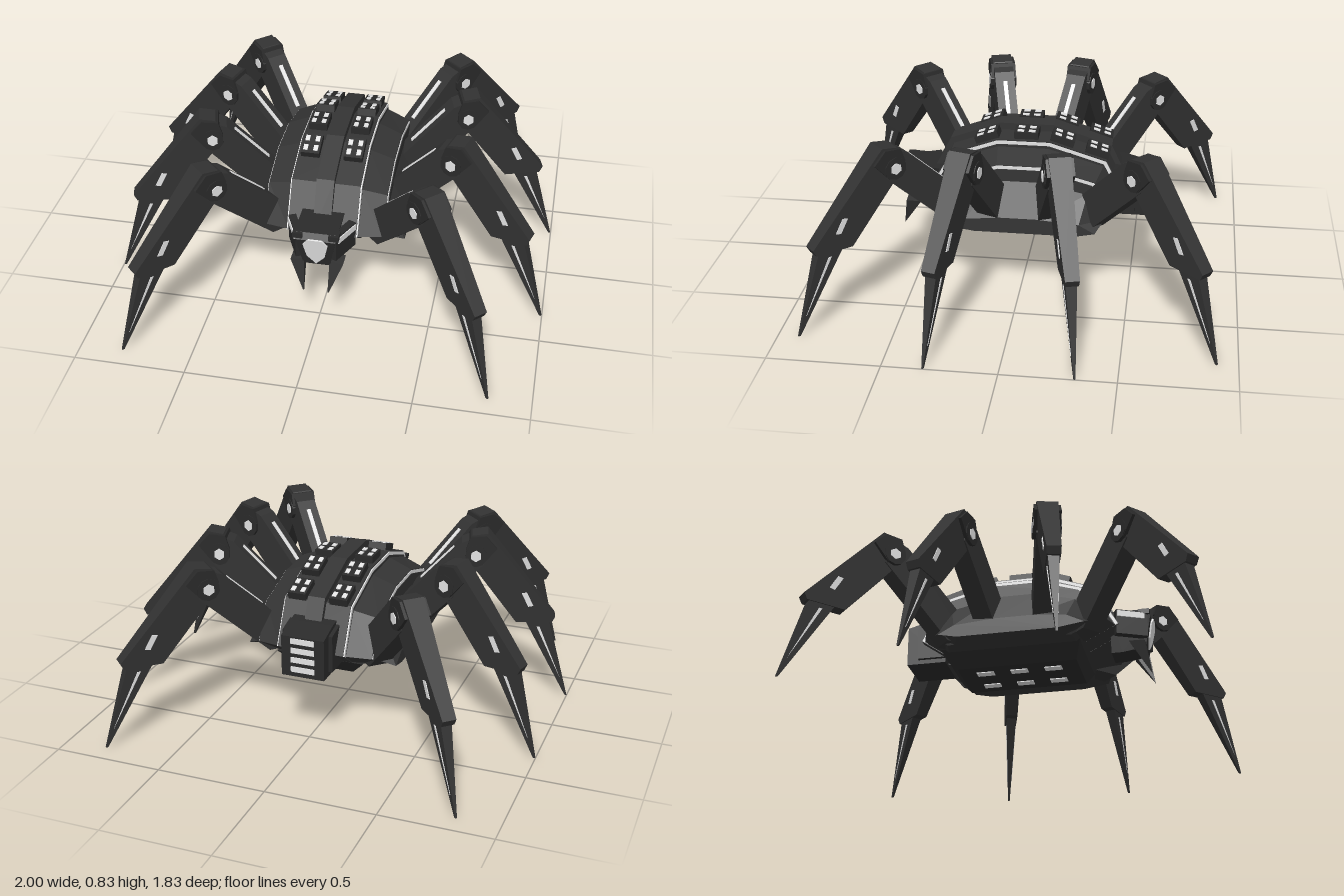
import * as THREE from 'three';

const material = (name, color) => {
  const m = new THREE.MeshStandardMaterial({ color });
  m.name = name;
  return m;
};

export function createModel() {
  const shellMat = material('shell grey', 0x343434);
  const legMat = material('leg grey', 0x323232);
  const darkMat = material('dark grey', 0x2a2a2a);
  const lightMat = material('light panel', 0xe4e4e4);
  const model = new THREE.Group();

  function add(parent, name, geometry, mat, x = 0, y = 0, z = 0) {
    const mesh = new THREE.Mesh(geometry, mat);
    mesh.name = name;
    mesh.position.set(x, y, z);
    parent.add(mesh);
    return mesh;
  }
  const box = (w, h, d) => new THREE.BoxGeometry(w, h, d);

  // Outline in x/y extruded along z; the width may vary with height
  function prism(points, width) {
    const shape = new THREE.Shape(points.map(p => new THREE.Vector2(p[0], p[1])));
    const g = new THREE.ExtrudeGeometry(shape, { depth: 1, bevelEnabled: false });
    g.translate(0, 0, -0.5);
    const p = g.attributes.position;
    for (let i = 0; i < p.count; i++) {
      const w = typeof width === 'function' ? width(p.getY(i)) : width;
      p.setZ(i, p.getZ(i) * w);
    }
    g.computeVertexNormals();
    return g;
  }
  // Same, with the outline in z/y and the width along x
  const bodyPrism = (points, width) => prism(points, width).rotateY(-Math.PI / 2);

  // Side outline of the body as [z, y]
  const outline = [[0.28, 0.33], [0.45, 0.42], [0.34, 0.62], [0.12, 0.70],
    [-0.12, 0.70], [-0.38, 0.62], [-0.48, 0.42], [-0.36, 0.33]];
  const scaled = (s, k, base = 0.33) =>
    outline.map(([z, y]) => [z * s, Math.max(base, 0.33 + (y - 0.33) * k)]);

  // Faceted skin through cross-sections running along x
  function loft(sections) {
    const rings = sections.map(([x, s, k]) => scaled(s, k).map(([z, y]) => [x, y, z]));
    const n = outline.length, v = [];
    for (let i = 0; i < rings.length - 1; i++) {
      for (let j = 0; j < n; j++) {
        const a = rings[i][j], b = rings[i][(j + 1) % n];
        const c = rings[i + 1][(j + 1) % n], d = rings[i + 1][j];
        v.push(...a, ...d, ...b, ...b, ...d, ...c);
      }
    }
    const first = rings[0], last = rings[rings.length - 1];
    for (let j = 1; j < n - 1; j++) {
      v.push(...first[0], ...first[j], ...first[j + 1]);
      v.push(...last[0], ...last[j + 1], ...last[j]);
    }
    const g = new THREE.BufferGeometry();
    g.setAttribute('position', new THREE.Float32BufferAttribute(v, 3));
    g.computeVertexNormals();
    return g;
  }

  // Shell, raised centre, spine and inlaid light seams
  const half = [[0.355, 0.72, 0.2], [0.275, 0.80, 0.6], [0.27, 0.89, 0.80], [0.155, 0.965, 0.92]];
  add(model, 'shell', loft([...half.map(([x, s, k]) => [-x, s, k]),
    ...half.slice().reverse()]), shellMat);
  const layer = (name, s, k, width, base, mat) =>
    add(model, name, bodyPrism(scaled(s, k, base), width), mat);
  layer('raisedCentre', 1, 1, 0.31, 0.335, shellMat);
  layer('upperSeam', 0.993, 0.985, 0.32, 0.35, lightMat);
  layer('upperSeamEdge', 0.965, 0.945, 0.324, 0.34, shellMat);
  layer('sideSeam', 0.88, 0.79, 0.546, 0.35, lightMat);
  layer('sideSeamEdge', 0.85, 0.75, 0.552, 0.34, shellMat);
  layer('spine', 1.04, 1.09, 0.08, 0.34, shellMat);

  // Belly with light plates
  add(model, 'belly', bodyPrism([[-0.31, 0.265], [0.25, 0.265], [0.28, 0.34], [-0.37, 0.34]],
    y => 0.28 + (y - 0.265) * 1.8), darkMat);
  for (const x of [-0.07, 0.07]) {
    for (const z of [-0.19, -0.03, 0.13]) {
      add(model, 'bellyPlate', box(0.04, 0.006, 0.08), lightMat, x, 0.264, z);
    }
  }

  // Roof vents, each with four light windows, following the slope
  for (const [z, y, slope] of [[-0.335, 0.634, 0.308], [-0.175, 0.684, 0.308],
    [-0.01, 0.70, 0], [0.17, 0.682, -0.364]]) {
    for (const side of [-1, 1]) {
      const vent = new THREE.Group();
      vent.name = 'roofVent';
      vent.position.set(side * 0.098, y + 0.012, z);
      vent.rotation.x = -Math.atan(slope);
      add(vent, 'ventBase', box(0.085, 0.04, 0.11), darkMat);
      for (const wx of [-0.023, 0.023]) {
        for (const wz of [-0.026, 0.026]) {
          add(vent, 'ventWindow', box(0.02, 0.006, 0.03), lightMat, wx, 0.021, wz);
        }
      }
      model.add(vent);
    }
  }

  // Rear block with slits
  add(model, 'rearBlock', bodyPrism([[-0.38, 0.33], [-0.38, 0.56], [-0.46, 0.55],
    [-0.565, 0.52], [-0.565, 0.33]], 0.2), darkMat);
  add(model, 'rearCollar', bodyPrism([[-0.38, 0.35], [-0.38, 0.55], [-0.51, 0.52], [-0.51, 0.35]], 0.235), darkMat);
  for (const y of [0.365, 0.41, 0.455, 0.5]) {
    add(model, 'rearSlit', box(0.11, 0.025, 0.008), lightMat, 0, y, -0.566);
  }

  // Head, face plate, cheeks, eyes and fangs
  const head = new THREE.Group();
  head.name = 'head';
  model.add(head);
  add(head, 'skull', bodyPrism([[0.4, 0.32], [0.4, 0.51], [0.57, 0.51], [0.588, 0.48],
    [0.56, 0.335], [0.45, 0.32]], y => 0.11 + (y - 0.31) * 0.4), darkMat);
  const face = prism([[-0.03, 0.08], [0.03, 0.08], [0.055, 0.05], [0.04, -0.02],
    [0, -0.065], [-0.04, -0.02], [-0.055, 0.05]], 0.008);
  add(head, 'facePlate', face, lightMat, 0, 0.41, 0.579).rotation.x = 0.18;
  for (const side of [-1, 1]) {
    const cheek = add(head, 'cheek', box(0.035, 0.12, 0.15), darkMat, side * 0.105, 0.435, 0.5);
    cheek.rotation.y = -side * 0.43;
    add(cheek, 'eyeStrip', box(0.008, 0.028, 0.13), lightMat, side * 0.018, 0.04, -0.005);
    add(head, 'brow', box(0.045, 0.025, 0.05), darkMat, side * 0.08, 0.497, 0.56);
    const fang = add(head, 'fang', bodyPrism([[0.49, 0.36], [0.56, 0.36], [0.585, 0.205]],
      y => 0.006 + (y - 0.205) * 0.36), legMat, side * 0.013);
    fang.rotation.z = -side * 0.21;
  }

  // Leg parts, reaching along +x from the hip
  const spikeWidth = y => 0.008 + y * 0.11;
  const shinWidth = y => 0.06 + (y - 0.38) * 0.09;
  const legParts = [
    ['thigh', prism([[-0.09, 0.44], [0.23, 0.75], [0.28, 0.77], [0.34, 0.73],
      [0.34, 0.65], [0.02, 0.34], [-0.09, 0.34]], 0.095), legMat],
    ['shin', prism([[0.26, 0.75], [0.28, 0.785], [0.355, 0.797], [0.7, 0.405], [0.685, 0.375],
      [0.51, 0.37], [0.27, 0.66]], shinWidth), legMat],
    ['kneeCollar', prism([[0.25, 0.72], [0.27, 0.78], [0.345, 0.787], [0.4, 0.73], [0.33, 0.65]], 0.12), darkMat],
    ['shinLight', prism([[0.53, 0.515], [0.555, 0.52], [0.59, 0.455], [0.565, 0.45]],
      y => shinWidth(y) + 0.006), lightMat],
    ['spike', prism([[0.53, 0.42], [0.66, 0.42], [0.785, 0], [0.775, 0]], spikeWidth), legMat],
    ['spikeLight', prism([[0.612, 0.35], [0.627, 0.35], [0.745, 0.09]],
      y => spikeWidth(y) + 0.005), lightMat],
    ['kneeJoint', new THREE.CylinderGeometry(0.052, 0.052, 0.127, 10).rotateX(Math.PI / 2)
      .translate(0.3, 0.695, 0).toNonIndexed(), darkMat],
    ['kneeCap', new THREE.CylinderGeometry(0.027, 0.027, 0.134, 6).rotateX(Math.PI / 2)
      .translate(0.3, 0.695, 0).toNonIndexed(), lightMat],
    ['thighLight', box(0.22, 0.008, 0.02).rotateZ(Math.atan2(0.31, 0.32))
      .translate(0.115, 0.639, 0), lightMat],
  ];
  legParts.forEach(part => part[1].computeVertexNormals());

  // Eight legs: hip x, hip z, turn, reach and height scale
  for (const [hx, hz, turn, reach, height] of [[0.26, 0.33, 0.81, 1.02, 1], [0.28, 0.12, 0.274, 0.95, 1.04]]) {
    for (const sx of [-1, 1]) {
      for (const sz of [-1, 1]) {
        const leg = new THREE.Group();
        leg.name = (sz > 0 ? 'front' : 'rear') + (hz > 0.2 ? 'Outer' : 'Middle') + (sx > 0 ? 'LeftLeg' : 'RightLeg');
        leg.position.set(sx * hx, 0, sz * hz);
        leg.rotation.y = sx > 0 ? -sz * turn : Math.PI + sz * turn;
        leg.scale.set(reach, height, 1);
        for (const [name, geometry, mat] of legParts) add(leg, name, geometry, mat);
        model.add(leg);
      }
    }
  }
  return model;
}
